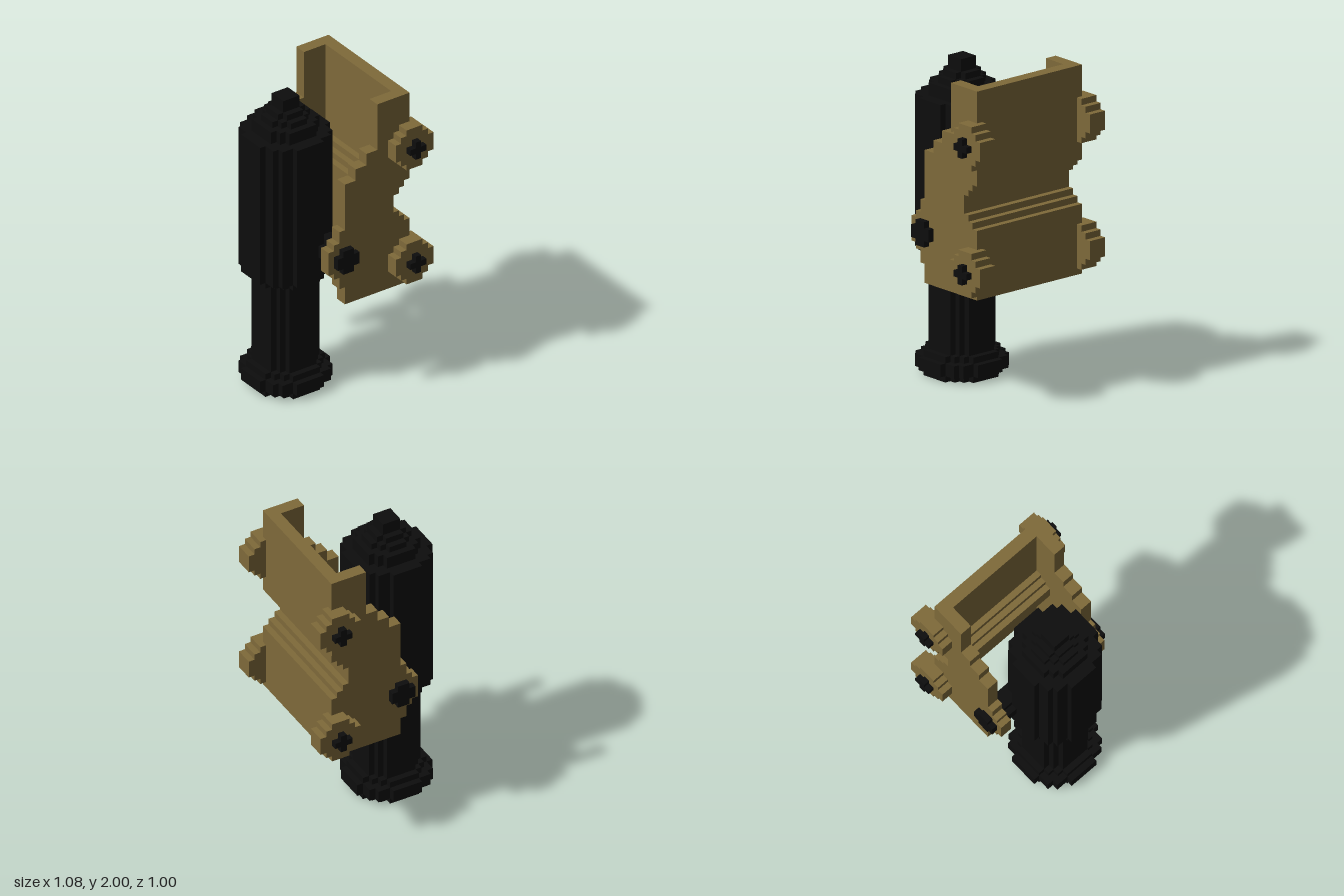
import * as THREE from 'three';

const U = 0.04; // grid step

// Stepped disc outline, d grid cells across
function disc(d, limit = d * d / 4) {
  const m = (d - 1) / 2, quarter = [];
  let last = null;
  for (let i = m; i >= 0; i--) {
    let j = m;
    while (i * i + j * j > limit) j--;
    if (j === last) continue;
    const y = (i + 0.5) * U;
    if (last !== null) quarter.push([(last + 0.5) * U, y]);
    quarter.push([(j + 0.5) * U, y]);
    last = j;
    if (j === m) break;
  }
  const pts = [];
  let q = quarter;
  for (let k = 0; k < 4; k++) {
    pts.push(...q);
    q = q.map(([x, y]) => [y, -x]);
  }
  return pts;
}

function extrude(pts, depth) {
  const shape = new THREE.Shape(pts.map(([x, y]) => new THREE.Vector2(x, y)));
  return new THREE.ExtrudeGeometry(shape, { depth, bevelEnabled: false });
}

// Extrude a (z, y) outline across x from x0 to x1
function across(pts, x0, x1, z = 0, y = 0) {
  return extrude(pts.map(([pz, py]) => [-pz, py]), x1 - x0).rotateY(Math.PI / 2).translate(x0, y, z);
}

export function createModel() {
  const model = new THREE.Group();
  const wood = new THREE.MeshStandardMaterial({ color: 0x7f6a3a, flatShading: true });
  const iron = new THREE.MeshStandardMaterial({ color: 0x0d0d0d, flatShading: true });
  const add = (parent, name, geometry, material) => {
    const mesh = new THREE.Mesh(geometry, material);
    mesh.name = name;
    parent.add(mesh);
  };

  // Upright barrel: [cells across, bottom, top]
  const barrel = new THREE.Group();
  barrel.name = 'barrel';
  model.add(barrel);
  [
    ['muzzleLip', 11, 0, 0.04], ['muzzleRing', 13, 0.04, 0.12], ['muzzleCollar', 11, 0.12, 0.16],
    ['chase', 9, 0.16, 0.76], ['shoulder', 11, 0.76, 0.8], ['breech', 13, 0.8, 1.76],
    ['breechStepLow', 9, 1.76, 1.84], ['breechStepMid', 7, 1.84, 1.88],
    ['breechStepHigh', 5, 1.88, 1.92], ['breechKnob', 3, 1.92, 2],
  ].forEach(([name, d, y0, y1]) =>
    add(barrel, name, extrude(disc(d), y1 - y0).rotateX(-Math.PI / 2).translate(0, y0, 0.24), iron));
  add(barrel, 'trunnion', across(disc(4), -0.46, 0.46, 0.1, 1), iron);

  // Notched back edge, bottom to top, shared by cheeks and bed plate
  const back = [
    [-0.38, 0.68], [-0.38, 1.12], [-0.34, 1.12], [-0.34, 1.16], [-0.3, 1.16], [-0.3, 1.2], [-0.26, 1.2],
    [-0.26, 1.32], [-0.3, 1.32], [-0.3, 1.36], [-0.34, 1.36], [-0.34, 1.4], [-0.38, 1.4], [-0.38, 2],
  ];
  // Stepped front edge of the cheeks, top to bottom
  const front = [
    [-0.14, 2], [-0.14, 1.68], [-0.06, 1.68], [-0.06, 1.6], [0.02, 1.6], [0.02, 1.52], [0.1, 1.52], [0.1, 1.2],
    [0.14, 1.2], [0.14, 1.12], [0.18, 1.12], [0.18, 1.08], [0.22, 1.08], [0.22, 0.92], [0.18, 0.92],
    [0.18, 0.88], [0.14, 0.88], [0.14, 0.8], [0.1, 0.8], [0.1, 0.68],
  ];
  const inner = back.map(([z, y]) => [z + 0.08, y]).reverse();
  add(model, 'bedPlate', across([...back, ...inner], -0.34, 0.34), wood);

  // Cheeks, wheels and axle ends on both sides
  for (const [side, s] of [['left', 1], ['right', -1]]) {
    const span = (a, b) => (s > 0 ? [a, b] : [-b, -a]);
    add(model, side + 'Cheek', across([...back, ...front], ...span(0.34, 0.42)), wood);
    for (const [end, y] of [['Upper', 1.66], ['Lower', 0.86]]) {
      add(model, side + end + 'Wheel', across(disc(7), ...span(0.38, 0.5), -0.36, y), wood);
      add(model, side + end + 'AxleEnd', across(disc(3, 1), ...span(0.42, 0.54), -0.36, y), iron);
    }
  }
  return model;
}
